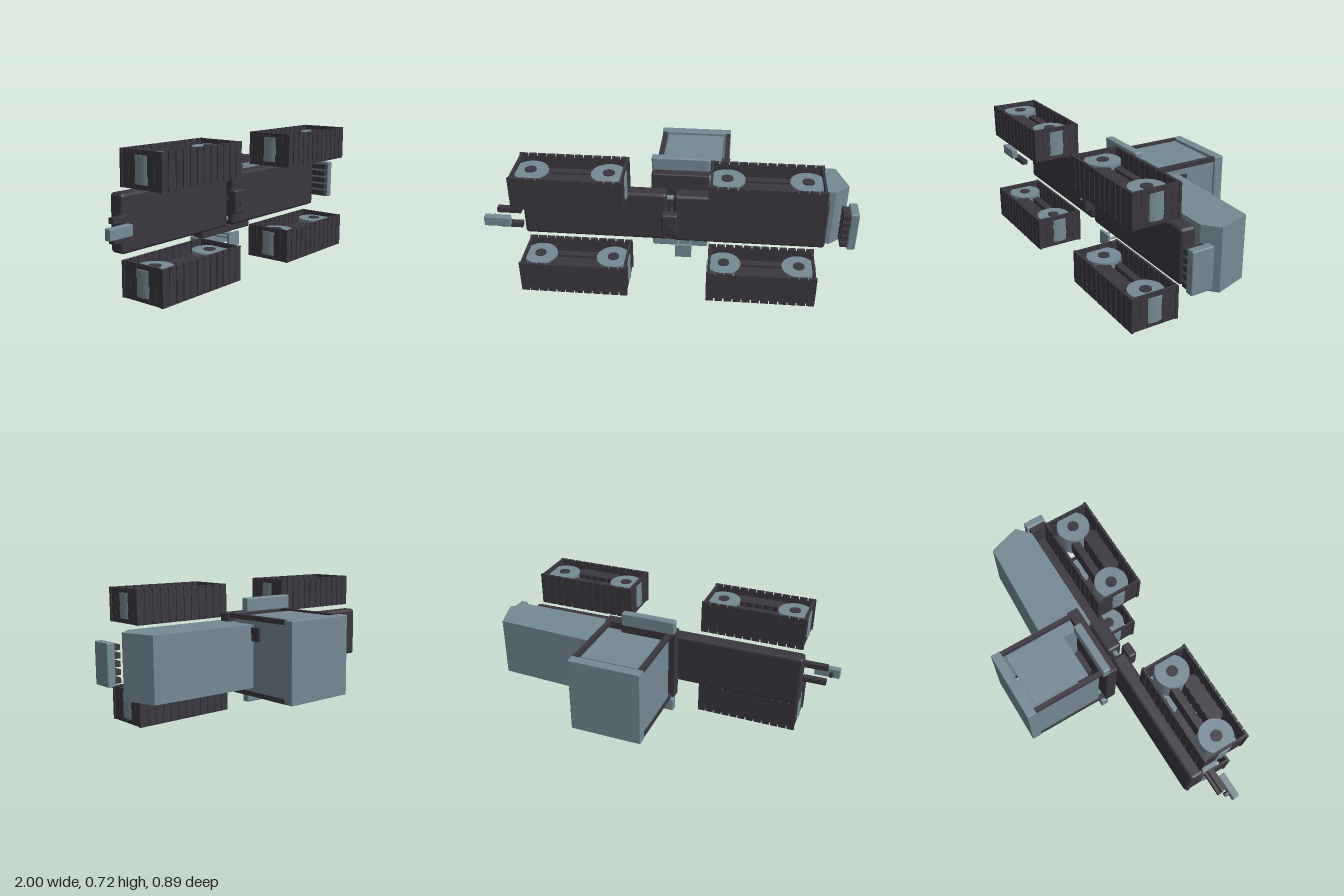
import * as THREE from 'three';
import { RoundedBoxGeometry } from 'three/addons/geometries/RoundedBoxGeometry.js';

// The tractor lies on its side: its length runs along x, its roof points to -z.
export function createModel() {
  const model = new THREE.Group();
  model.name = 'articulatedTrackedTractor';
  const steel = new THREE.MeshStandardMaterial({ color: 0x758a95 });
  steel.name = 'blue grey steel';
  const dark = new THREE.MeshStandardMaterial({ color: 0x3a373f });
  dark.name = 'dark rubber';
  const MID = 0.36; // y of the tractor's lengthwise middle plane

  function add(parent, name, geometry, material, x = 0, y = 0, z = 0) {
    const mesh = new THREE.Mesh(geometry, material);
    mesh.name = name;
    mesh.position.set(x, y, z);
    parent.add(mesh);
    return mesh;
  }
  // Box given by its limits on each axis; r rounds its edges.
  function box(parent, name, material, [x0, x1], [y0, y1], [z0, z1], r = 0) {
    const size = [x1 - x0, y1 - y0, z1 - z0];
    const geometry = r ? new RoundedBoxGeometry(...size, 2, r) : new THREE.BoxGeometry(...size);
    return add(parent, name, geometry, material, (x0 + x1) / 2, (y0 + y1) / 2, (z0 + z1) / 2);
  }
  function cylinder(parent, name, material, r, height, x, y, z) {
    return add(parent, name, new THREE.CylinderGeometry(r, r, height, 32), material, x, y, z);
  }
  function group(name, parent = model) {
    const g = new THREE.Group();
    g.name = name;
    parent.add(g);
    return g;
  }

  // Two frame halves and the joint between them
  box(model, 'rearFrame', dark, [-0.815, -0.02], [0.215, 0.508], [0.12, 0.205], 0.018);
  box(model, 'frontFrame', dark, [0.018, 0.845], [0.215, 0.508], [0.123, 0.212], 0.018);
  const joint = group('joint');
  box(joint, 'jointBlock', dark, [-0.045, 0.043], [0.295, 0.427], [0.228, 0.28], 0.012);
  cylinder(joint, 'jointPin', dark, 0.014, 0.2, 0, MID, 0.19).rotation.x = Math.PI / 2;
  box(joint, 'jointMount', steel, [0.03, 0.08], [0.3, 0.42], [0.09, 0.14]);
  for (const s of [-1, 1]) {
    const ram = cylinder(joint, 'steeringRam', steel, 0.014, 0.14, 0, MID + s * 0.11, 0.165);
    ram.rotation.z = Math.PI / 2;
  }

  // Track unit, built around its own centre
  function trackUnit(name, x, y) {
    const unit = group(name);
    unit.position.set(x, y, 0.311);
    for (const s of [-1, 1]) {
      const wx = s * 0.203;
      cylinder(unit, 'wheel', steel, 0.092, 0.136, wx, 0, 0);
      cylinder(unit, 'hub', dark, 0.031, 0.146, wx, 0, 0);
      // Belt and plates on the long runs
      box(unit, 'belt', dark, [-0.278, 0.278], [-0.077, 0.077], [s * 0.125 - 0.003, s * 0.125 + 0.003]);
      for (let i = 0; i < 12; i++) {
        const px = (i - 5.5) * 0.0492;
        box(unit, 'trackPlate', dark, [px - 0.021, px + 0.021], [-0.092, 0.092], [s * 0.126 - 0.007, s * 0.126 + 0.007]);
      }
      // Plates on the short ends
      for (let i = 0; i < 6; i++) {
        const pz = (i - 2.5) * 0.0415;
        box(unit, 'endPlate', dark, [s * 0.28 - 0.006, s * 0.28 + 0.006], [-0.092, 0.092], [pz - 0.02, pz + 0.02]);
      }
    }
    for (let i = 0; i < 5; i++) cylinder(unit, 'roller', dark, 0.043, 0.12, (i - 2) * 0.05, 0, 0.058);
    box(unit, 'rollerFrame', dark, [-0.2, 0.2], [-0.05, 0.05], [-0.055, -0.014]);
  }
  for (const s of [-1, 1]) {
    const side = s < 0 ? 'Lower' : 'Upper';
    trackUnit('rear' + side + 'Track', -0.507, MID + s * 0.268);
    trackUnit('front' + side + 'Track', 0.503, MID + s * 0.268);
  }

  // Hood, extruded from its side profile
  const profile = new THREE.Shape([[0.215, 0.13], [0.88, 0.13], [0.957, 0.062], [0.9, -0.12], [0.215, -0.15]]
    .map(([x, z]) => new THREE.Vector2(x, -z)));
  const hoodGeometry = new THREE.ExtrudeGeometry(profile, { depth: 0.338, bevelEnabled: false });
  hoodGeometry.rotateX(-Math.PI / 2);
  add(model, 'hood', hoodGeometry, steel, 0, 0.191, 0);
  box(model, 'airIntake', dark, [0.255, 0.31], [0.443, 0.515], [-0.203, -0.13]);

  // Grille of small slots on the lower side of the hood
  const grille = group('grille');
  for (let i = 0; i < 11; i++) {
    for (let j = 0; j < 5; j++) {
      const gx = 0.5 + i * 0.025, gz = -0.025 + j * 0.025;
      box(grille, 'grilleSlot', dark, [gx - 0.01, gx + 0.01], [0.185, 0.192], [gz - 0.01, gz + 0.01]);
    }
  }

  // Front weight on five brackets
  box(model, 'frontWeight', steel, [0.954, 0.998], [0.25, 0.473], [0.135, 0.256], 0.006);
  for (let i = -2; i <= 2; i++) {
    const y = MID + i * 0.042;
    box(model, 'weightBracket', dark, [0.917, 0.956], [y - 0.014, y + 0.014], [0.148, 0.25]);
  }

  // Cab: floor, roof, posts, windows, seat
  const cab = group('cab');
  box(cab, 'floor', dark, [-0.112, 0.315], [0.145, 0.575], [0.038, 0.102], 0.006);
  box(cab, 'roof', steel, [-0.1, 0.307], [0.145, 0.575], [-0.448, -0.392], 0.004);
  for (const [x0, x1] of [[-0.095, -0.07], [0.278, 0.303]]) {
    for (const y of [0.145, 0.55]) box(cab, 'post', dark, [x0, x1], [y, y + 0.025], [-0.395, 0.045]);
    const mid = (x0 + x1) / 2;
    box(cab, 'endWindow', steel, [mid - 0.005, mid + 0.005], [0.17, 0.55], [-0.392, 0]);
  }
  for (const y of [0.158, 0.562]) box(cab, 'sideWindow', steel, [-0.058, 0.264], [y - 0.005, y + 0.005], [-0.377, -0.05]);
  box(cab, 'seatBase', dark, [0.0, 0.138], [0.29, 0.43], [-0.07, 0.01]);

  // Fenders on both sides of the cab
  for (const y of [0.07, 0.572]) box(model, 'fender', steel, [-0.115, 0.2], [y, y + 0.078], [0.01, 0.056], 0.008);

  // Boarding step with its rails
  const step = group('step');
  box(step, 'stepPlate', steel, [0.025, 0.115], [0.083, 0.162], [0.165, 0.18]);
  for (const x of [0.035, 0.105]) {
    cylinder(step, 'stepRail', steel, 0.006, 0.225, x, 0.136, 0.055).rotation.x = Math.PI / 2;
  }

  // Rear hitch
  const hitch = group('hitch');
  for (const y of [0.315, 0.408]) box(hitch, 'hitchArm', dark, [-0.935, -0.805], [y - 0.014, y + 0.014], [0.243, 0.276]);
  box(hitch, 'drawbar', steel, [-1, -0.858], [0.334, 0.39], [0.285, 0.322], 0.005);
  cylinder(hitch, 'hitchPin', dark, 0.012, 0.04, -0.955, MID, 0.28).rotation.x = Math.PI / 2;

  return model;
}
